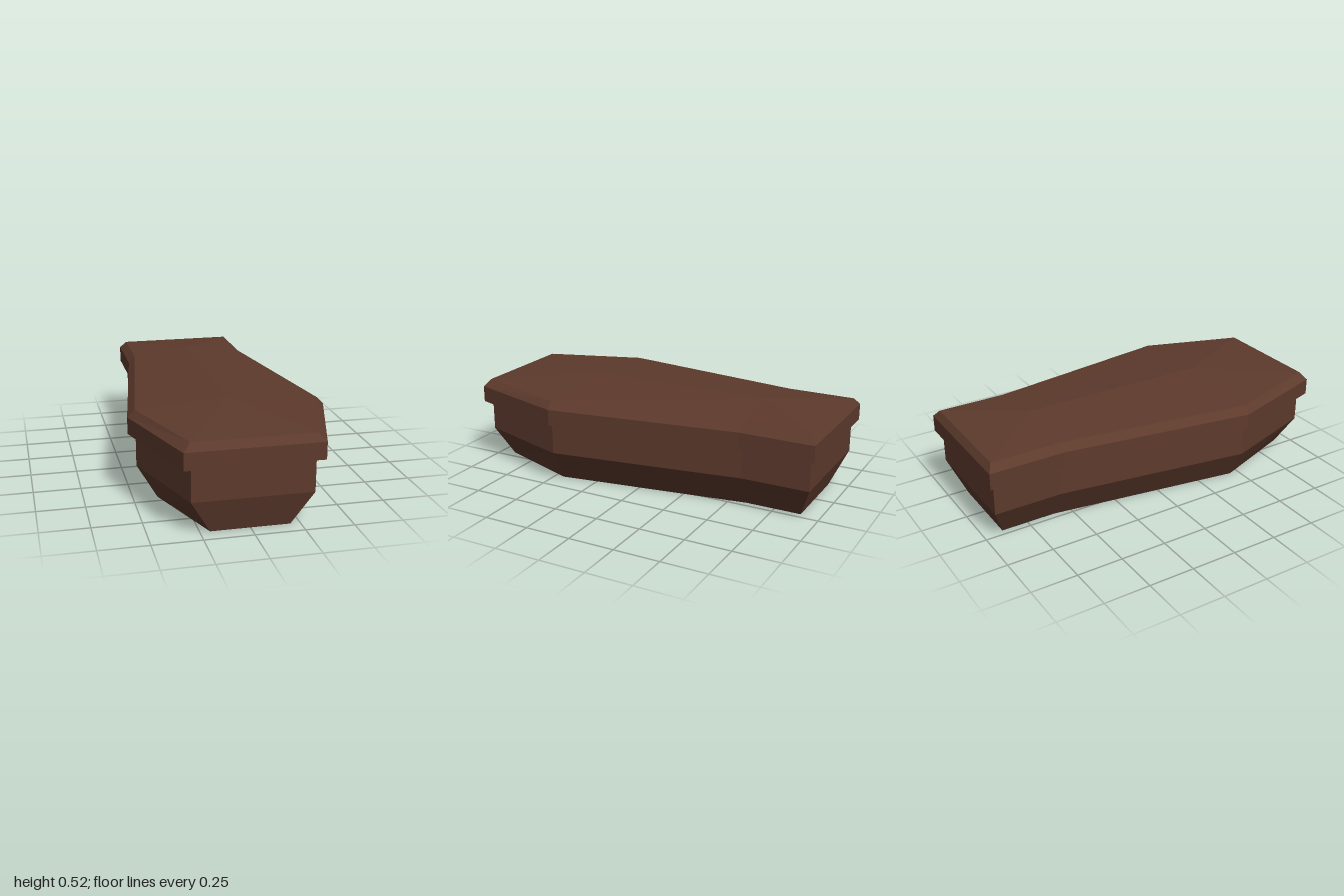
import * as THREE from 'three';

const wood = new THREE.MeshStandardMaterial({ color: 0x5d3a2c });
wood.name = 'dark brown wood';

// Full outline from its +x half, listed front to back as [x, z]
function ring(y, half) {
  const right = half.map(([x, z]) => [x, y, z]);
  const left = half.map(([x, z]) => [-x, y, z]).reverse();
  return [...right, ...left];
}

// Flat-shaded mesh from polygons (fans of corners, counter-clockwise from outside)
function facetedMesh(name, polygons) {
  const positions = [];
  for (const p of polygons) {
    for (let i = 1; i < p.length - 1; i++) positions.push(...p[0], ...p[i], ...p[i + 1]);
  }
  const geometry = new THREE.BufferGeometry();
  geometry.setAttribute('position', new THREE.Float32BufferAttribute(positions, 3));
  geometry.computeVertexNormals();
  const mesh = new THREE.Mesh(geometry, wood);
  mesh.name = name;
  return mesh;
}

// Walls between successive rings, from the bottom up
function walls(rings) {
  const faces = [];
  for (let k = 0; k < rings.length - 1; k++) {
    const lo = rings[k], hi = rings[k + 1];
    lo.forEach((a, i) => {
      const j = (i + 1) % lo.length;
      faces.push([a, lo[j], hi[j], hi[i]]);
    });
  }
  return faces;
}

// Level cap, split into strips across the width
function cap(r, up) {
  const faces = [], n = r.length;
  for (let i = 0; i < n / 2 - 1; i++) {
    const f = [r[i], r[i + 1], r[n - 2 - i], r[n - 1 - i]];
    faces.push(up ? f : f.reverse());
  }
  return faces;
}

export function createModel() {
  const model = new THREE.Group();
  model.name = 'coffin';

  // Box: tapered base below upright sides
  const side = [[0.303, 0.97], [0.478, 0.44], [0.32, -0.605], [0.32, -0.97]];
  const base = ring(0, [[0.2, 0.915], [0.373, 0.45], [0.215, -0.595], [0.215, -0.895]]);
  const rim = ring(0.36, side);
  model.add(facetedMesh('box', [
    ...cap(base, false), ...walls([base, ring(0.18, side), rim]), ...cap(rim, true),
  ]));

  // Lid: overhanging edge, bevel and a low ridged top
  const edge = [[0.343, 1], [0.518, 0.435], [0.36, -0.6], [0.36, -1]];
  const under = ring(0.352, edge);
  const top = ring(0.48, [[0.305, 0.97], [0.48, 0.44], [0.323, -0.605], [0.323, -0.975]]);
  const front = [0, 0.516, 0.435], back = [0, 0.516, -0.6];
  const roof = [
    [top[7], top[0], front], [top[0], top[1], front],
    [top[1], top[2], back, front], [top[2], top[3], back],
    [top[3], top[4], back], [top[4], top[5], back],
    [top[5], top[6], front, back], [top[6], top[7], front],
  ];
  model.add(facetedMesh('lid', [
    ...cap(under, false), ...walls([under, ring(0.441, edge), top]), ...roof,
  ]));

  return model;
}
